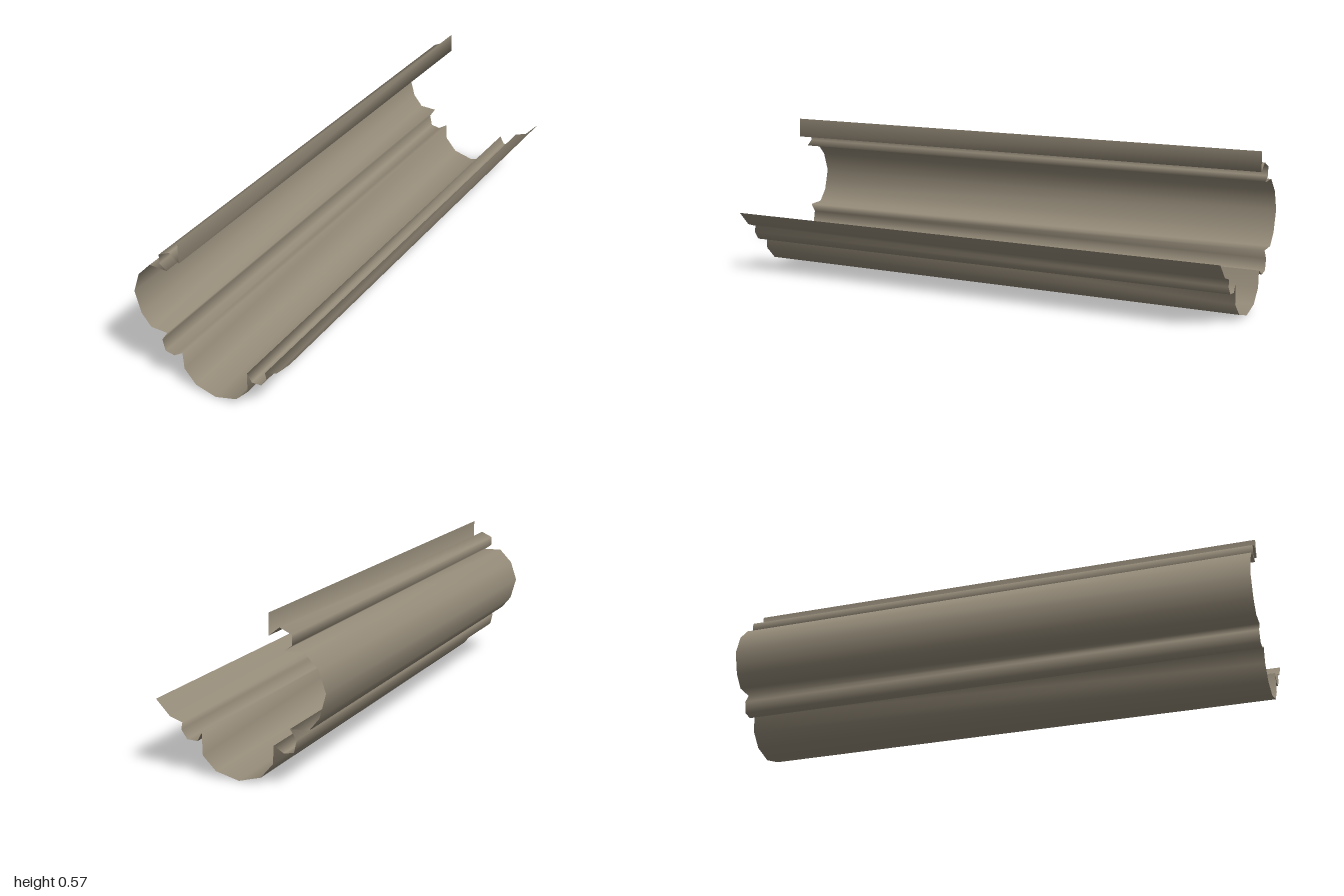
import * as THREE from 'three';

// Cross-section of the bent sheet, from the upper lip round to the right lip
const upperLip = [[-0.113, 0.575], [-0.112, 0.5]];
const upperRib = [[-0.15, 0.53], [-0.193, 0.51], [-0.193, 0.475], [-0.165, 0.455]];
const sideLobe = [[-0.235, 0.457], [-0.285, 0.405], [-0.31, 0.33], [-0.287, 0.248], [-0.25, 0.203]];
const cornerRib = [[-0.183, 0.2], [-0.206, 0.165], [-0.196, 0.122], [-0.16, 0.115], [-0.124, 0.137]];
const bottomLobe = [[-0.12, 0.074], [-0.075, 0.022], [0.005, 0], [0.09, 0.022], [0.138, 0.07]];
const rightRib = [[0.14, 0.148], [0.157, 0.117], [0.195, 0.119], [0.217, 0.15], [0.212, 0.175]];
const rightLip = [[0.258, 0.19], [0.31, 0.245]];

// Sweeps an open profile straight along z with smooth normals
function sweepSheet(profile, length) {
  const geometry = new THREE.PlaneGeometry(1, length, profile.length - 1, 1);
  const position = geometry.attributes.position;
  for (let i = 0; i < position.count; i++) {
    const [x, y] = profile[i % profile.length];
    position.setXYZ(i, x, y, position.getY(i));
  }
  geometry.computeVertexNormals();
  return geometry;
}

export function createModel() {
  const model = new THREE.Group();
  model.name = 'ribbedChannel';

  const metal = new THREE.MeshStandardMaterial({ color: 0x958b79, side: THREE.DoubleSide });
  metal.name = 'warmGreyMetal';

  // One continuous sheet: two rounded lobes joined by folded ribs
  const profile = [
    ...upperLip, ...upperRib, ...sideLobe, ...cornerRib,
    ...bottomLobe, ...rightRib, ...rightLip,
  ];
  const sheet = new THREE.Mesh(sweepSheet(profile, 2), metal);
  sheet.name = 'foldedSheet';
  model.add(sheet);

  return model;
}
